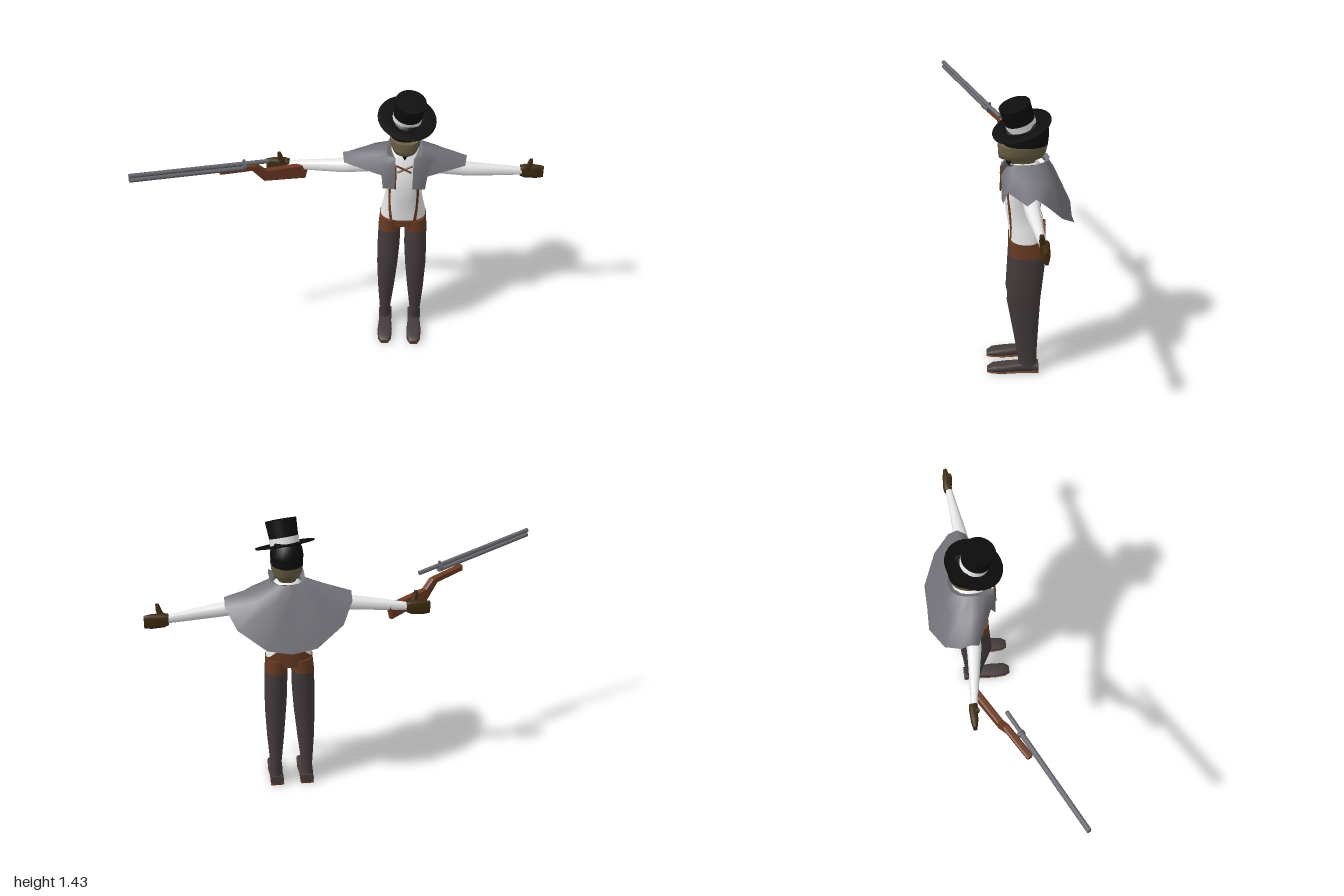
import * as THREE from 'three';

const mat = (name, color, side = THREE.FrontSide) => {
  const m = new THREE.MeshStandardMaterial({ color, side });
  m.name = name;
  return m;
};
const M = {
  black: mat('black felt', 0x0d0d0e),
  white: mat('white cloth', 0xf0f0f0),
  skin: mat('olive cloth', 0x6b6044),
  cape: mat('grey cape', 0x74737a, THREE.DoubleSide),
  trousers: mat('dark trousers', 0x443b3b),
  leather: mat('brown leather', 0x663a22, THREE.DoubleSide),
  glove: mat('dark glove', 0x3e2a10),
  wood: mat('stock wood', 0x6e3a22),
  steel: mat('gun steel', 0x68686f),
};

function add(parent, name, geo, material) {
  const mesh = new THREE.Mesh(geo, material);
  mesh.name = name;
  parent.add(mesh);
  return mesh;
}

// Surface through rows of points; closed rows wrap round and may be capped
function skin(rows, closed, caps = false) {
  const n = rows[0].length, pos = rows.flat(2), idx = [];
  for (let i = 0; i + 1 < rows.length; i++) {
    for (let j = 0; j < (closed ? n : n - 1); j++) {
      const k = (j + 1) % n, a = i * n, b = a + n;
      idx.push(a + j, a + k, b + k, a + j, b + k, b + j);
    }
  }
  if (caps) {
    for (const [row, top] of [[rows[0], false], [rows[rows.length - 1], true]]) {
      const s = pos.length / 3;
      const mid = [0, 1, 2].map(c => row.reduce((t, p) => t + p[c], 0) / n);
      pos.push(...row.flat(), ...mid);
      for (let j = 0; j < n; j++) {
        const k = (j + 1) % n;
        idx.push(s + n, s + (top ? j : k), s + (top ? k : j));
      }
    }
  }
  const g = new THREE.BufferGeometry();
  g.setAttribute('position', new THREE.Float32BufferAttribute(pos, 3));
  g.setIndex(idx);
  g.computeVertexNormals();
  return g;
}

// Loft of rounded rings [height, half width, front z, back z, centre x, rise at back]
function loft(rings, e = 0.85, n = 20) {
  const pw = v => Math.sign(v) * Math.abs(v) ** e;
  return skin(rings.map(([y, rx, zf, zb, cx = 0, lift = 0]) =>
    Array.from({ length: n }, (_, j) => {
      const t = (j / n) * Math.PI * 2, c = Math.cos(t);
      return [cx + rx * pw(Math.sin(t)), y + lift * Math.max(0, -c) ** 3,
        (zf + zb) / 2 + (zf - zb) / 2 * pw(c)];
    })), true, true);
}

const TORSO = [
  [0.70, 0.115, -0.015, -0.186], [0.74, 0.113, -0.014, -0.186], [0.80, 0.10, -0.008, -0.178],
  [0.86, 0.09, 0.002, -0.158], [0.94, 0.10, 0.01, -0.17], [1.02, 0.115, 0.0, -0.185],
  [1.08, 0.09, -0.02, -0.175], [1.115, 0.05, -0.03, -0.14],
];

// Point just off the torso, at the front (s = 1) or back (s = -1)
function onTorso(x, y, s) {
  let i = 0;
  while (i < TORSO.length - 2 && TORSO[i + 1][0] < y) i++;
  const a = TORSO[i], b = TORSO[i + 1], f = (y - a[0]) / (b[0] - a[0]);
  const [, rx, zf, zb] = a.map((v, k) => v + (b[k] - v) * f);
  const q = Math.max(0, 1 - Math.min(1, Math.abs(x / rx)) ** (2 / 0.85)) ** 0.425;
  return [x, y, (zf + zb) / 2 + s * ((zf - zb) / 2 * q + 0.005)];
}

// Thin strap lying on the torso, from points [x, y, half width]
const strap = (pts, s) => skin(pts.map(([x, y, w]) =>
  [-1, 0, 1].map(k => onTorso(x + k * w, y, s))), false);

function rod(a, b, r, sides = 10) {
  const p = new THREE.Vector3(...a), d = new THREE.Vector3(...b).sub(p);
  const g = new THREE.CylinderGeometry(r, r, d.length(), sides);
  g.applyQuaternion(new THREE.Quaternion().setFromUnitVectors(
    new THREE.Vector3(0, 1, 0), d.clone().normalize()));
  return g.translate(p.x + d.x / 2, p.y + d.y / 2, p.z + d.z / 2);
}

// Full row of a symmetrical cloth from its +x half (front edge to back centre)
const bothSides = half => [...half, ...half.slice(0, -1).reverse().map(([x, y, z]) => [-x, y, z])];

// One leg and arm on the +x side
function buildLimbs() {
  const g = new THREE.Group();
  add(g, 'leg', loft([[0.03, 0.032, -0.06, -0.153, 0.08], [0.09, 0.027, -0.055, -0.148, 0.08],
    [0.25, 0.042, -0.028, -0.156, 0.077], [0.41, 0.053, 0, -0.165, 0.073],
    [0.53, 0.057, -0.006, -0.178, 0.069], [0.65, 0.056, -0.012, -0.19, 0.066]]), M.trousers);
  add(g, 'upperLeg', loft([[0.648, 0.057, -0.012, -0.191, 0.066],
    [0.72, 0.056, -0.012, -0.192, 0.06]]), M.leather);
  const shoe = (y0, tops) => loft([-0.158, -0.06, 0.01, 0.07, 0.098].map((z, i) =>
    [z, [0.034, 0.033, 0.038, 0.034, 0.02][i], -y0, -tops[i], 0.077]), 0.6, 16).rotateX(Math.PI / 2);
  add(g, 'shoe', shoe(0.007, [0.05, 0.05, 0.042, 0.036, 0.02]), M.trousers);
  add(g, 'sole', shoe(0, [0.007, 0.007, 0.007, 0.007, 0.007]), M.leather);

  const along = (rings, e) => loft(rings, e, 16).rotateZ(-Math.PI / 2);
  add(g, 'sleeve', along([[0.07, 0.05, -0.055, -0.155, -1.03], [0.2, 0.042, -0.065, -0.15, -1.005],
    [0.31, 0.034, -0.075, -0.145, -0.986], [0.45, 0.028, -0.1, -0.15, -0.974],
    [0.59, 0.02, -0.125, -0.158, -0.962]]), M.white);
  add(g, 'hand', along([[0.578, 0.026, -0.125, -0.165, -0.962], [0.6, 0.034, -0.124, -0.168, -0.96],
    [0.66, 0.036, -0.13, -0.165, -0.957], [0.695, 0.031, -0.138, -0.158, -0.956]], 0.6), M.glove);
  add(g, 'thumb', loft([[0.975, 0.016, -0.122, -0.15, 0.608], [1.005, 0.014, -0.118, -0.144, 0.622],
    [1.037, 0.009, -0.12, -0.14, 0.628]], 0.7, 10), M.glove);
  return g;
}

function buildHat() {
  const hat = new THREE.Group();
  hat.name = 'hat';
  const lathe = pts => new THREE.LatheGeometry(pts.map(p => new THREE.Vector2(...p)), 28);
  add(hat, 'brim', lathe([[0, -0.006], [0.09, -0.006], [0.144, 0.0], [0.144, 0.006], [0.09, 0.004], [0.05, 0.004]]), M.black);
  add(hat, 'crown', new THREE.CylinderGeometry(0.076, 0.068, 0.122, 28).translate(0, 0.061, 0), M.black);
  add(hat, 'hatBand', new THREE.CylinderGeometry(0.0735, 0.0715, 0.034, 28, 1, true).translate(0, 0.022, 0), M.white);
  hat.position.set(0.005, 1.288, -0.073);
  hat.rotation.set(0.305, 0, -0.13);
  return hat;
}

function buildGun() {
  const gun = new THREE.Group();
  gun.name = 'longGun';
  add(gun, 'upperBarrel', rod([-0.995, 1.161, 0.302], [-0.37, 1.073, 0.005], 0.011), M.steel);
  add(gun, 'lowerBarrel', rod([-0.995, 1.137, 0.302], [-0.48, 1.064, 0.057], 0.011), M.steel);
  add(gun, 'barrelBand', rod([-0.493, 1.076, 0.063], [-0.477, 1.074, 0.055], 0.02), M.steel);
  add(gun, 'sight', rod([-0.485, 1.08, 0.059], [-0.482, 1.11, 0.057], 0.007, 6), M.steel);
  // Stock: flat outline extruded sideways and turned towards the barrels
  const yaw = 0.507;
  const outline = [[-0.6, 1.075], [-0.6, 1.045], [-0.455, 1.02], [-0.42, 0.97], [-0.4, 0.942],
    [-0.205, 0.895], [-0.187, 0.972], [-0.39, 1.003], [-0.43, 1.048]]
    .map(([x, y]) => new THREE.Vector2((x + 0.6) / Math.cos(yaw), y));
  const stock = add(gun, 'stock', new THREE.ExtrudeGeometry(new THREE.Shape(outline), {
    depth: 0.018, bevelThickness: 0.007, bevelSize: 0.004, bevelOffset: -0.004, bevelSegments: 1,
  }).translate(0, 0, -0.009), M.wood);
  stock.position.set(-0.6, 0, 0.088);
  stock.rotation.y = yaw;
  return gun;
}

export function createModel() {
  const model = new THREE.Group();
  model.name = 'figure';
  const body = new THREE.Group();
  body.name = 'body';
  body.position.x = 0.297;
  model.add(body, buildGun());

  add(body, 'torso', loft(TORSO, 0.85, 28), M.white);
  add(body, 'waist', loft([[0.685, 0.112, -0.012, -0.188], [0.722, 0.118, -0.01, -0.191, 0, 0.075]], 0.85, 28), M.leather);
  for (const s of [1, -1]) {
    const limbs = buildLimbs();
    limbs.name = s > 0 ? 'leftLimbs' : 'rightLimbs';
    limbs.scale.x = s;
    body.add(limbs);
    add(body, 'frontStrap', strap([[s * 0.058, 0.71, 0.008], [s * 0.068, 0.8, 0.006],
      [s * 0.07, 0.88, 0.006], [s * 0.07, 0.96, 0.006], [s * 0.06, 1.05, 0.006]], 1), M.leather);
    add(body, 'lacing', rod([s * 0.04, 1.075, 0.02], [s * -0.034, 1.04, 0.026], 0.0045, 6), M.leather);
  }
  add(body, 'backStrap', strap([[0, 0.77, 0.045], [0, 0.82, 0.016], [0, 0.86, 0.009],
    [0, 0.94, 0.008], [0, 1.03, 0.008]], -1), M.leather);
  add(body, 'hangingLace', rod([-0.042, 1.07, 0.023], [-0.042, 0.942, 0.026], 0.004, 6), M.leather);
  add(body, 'neckTie', new THREE.ConeGeometry(0.014, 0.028, 8).rotateX(Math.PI).translate(0, 1.1, -0.012), M.black);

  // Head: covered lower face, dark hair above
  add(body, 'lowerFace', loft([[1.07, 0.042, -0.03, -0.13], [1.125, 0.045, -0.02, -0.14],
    [1.14, 0.062, 0.036, -0.172], [1.165, 0.074, 0.039, -0.188], [1.205, 0.079, 0.04, -0.197]], 0.85), M.skin);
  add(body, 'hair', loft([[1.204, 0.077, 0.012, -0.196], [1.25, 0.08, 0.012, -0.201],
    [1.285, 0.074, 0.002, -0.198], [1.315, 0.055, -0.07, -0.175]], 0.9), M.black);
  body.add(buildHat());

  // Cape: short over chest and arms, long down the back
  const neck = [[0.045, 1.105, 0.0], [0.05, 1.108, -0.005], [0.058, 1.112, -0.03], [0.065, 1.115, -0.06],
    [0.068, 1.116, -0.09], [0.066, 1.118, -0.12], [0.06, 1.12, -0.145], [0.035, 1.12, -0.175], [0, 1.12, -0.185]];
  const shoulder = [[0.042, 1.06, 0.025], [0.085, 1.07, 0.022], [0.125, 1.08, -0.025], [0.17, 1.08, -0.065],
    [0.19, 1.085, -0.11], [0.18, 1.075, -0.165], [0.15, 1.06, -0.21], [0.08, 1.05, -0.23], [0, 1.05, -0.232]];
  const hem = [[0.042, 0.94, 0.024], [0.104, 0.94, 0.018], [0.112, 1.0, -0.005], [0.3, 1.018, -0.085],
    [0.308, 1.055, -0.125], [0.308, 1.02, -0.172], [0.255, 0.93, -0.25], [0.12, 0.845, -0.318], [0, 0.82, -0.316]];
  add(body, 'cape', skin([hem, shoulder, neck].map(bothSides), false), M.cape);
  const rim = [[0.055, 1.12, 0.015], [0.085, 1.132, 0.012], [0.088, 1.13, -0.03], [0.087, 1.128, -0.06],
    [0.086, 1.127, -0.09], [0.082, 1.127, -0.13], [0.072, 1.13, -0.165], [0.045, 1.132, -0.195], [0, 1.132, -0.205]];
  add(body, 'collar', skin([neck, rim].map(bothSides), false), M.cape);
  return model;
}
